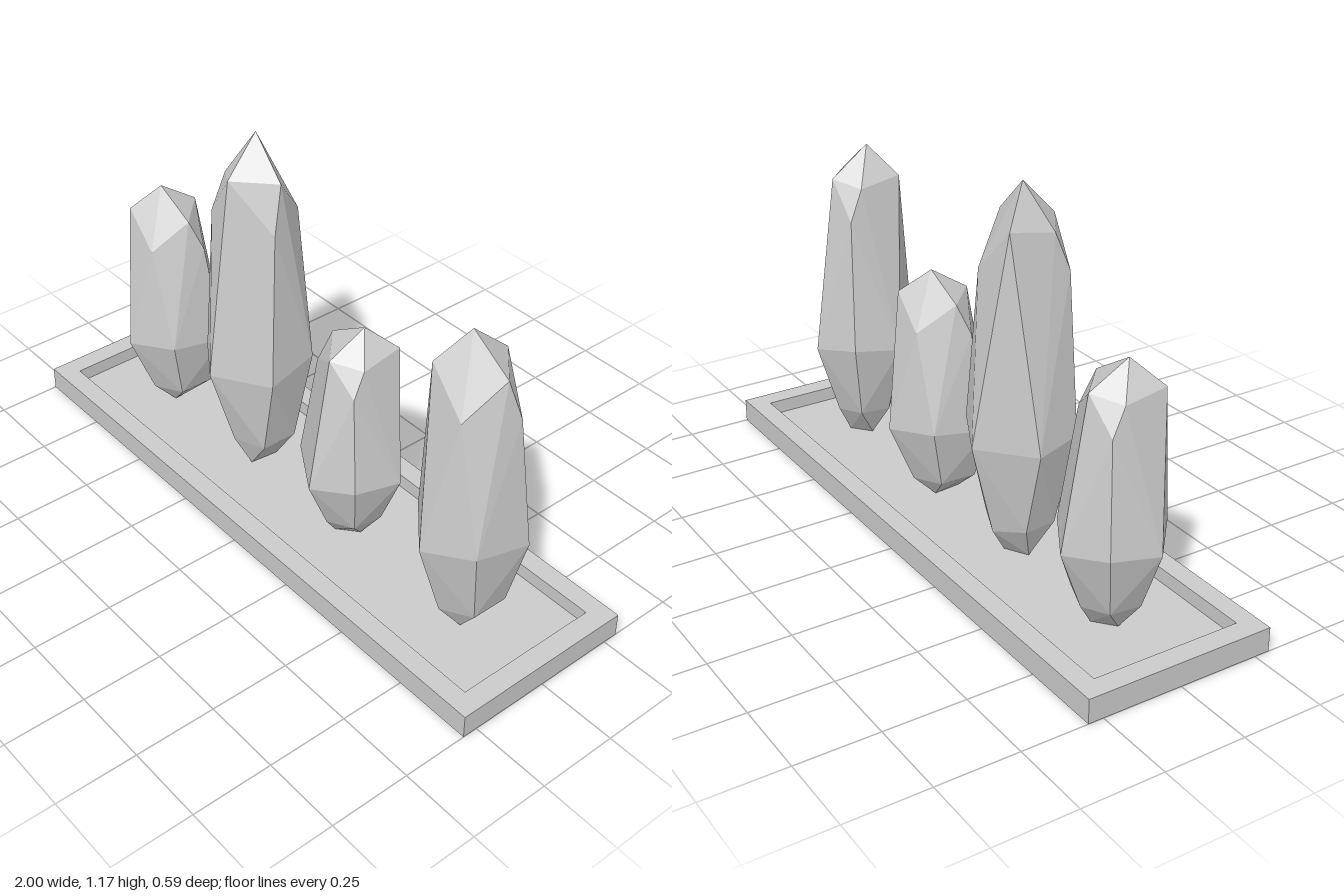
import * as THREE from 'three';
import { ConvexGeometry } from 'three/addons/geometries/ConvexGeometry.js';

const material = new THREE.MeshStandardMaterial({ color: 0xcccccc, flatShading: true });

// Corners of one faceted crystal: x, height fraction, z
const corners = [
  // tip and shoulder
  [-0.015, 1, 0.02],
  [-0.075, 0.9, 0.1], [0.11, 0.9, 0.01], [0, 0.9, -0.095], [-0.085, 0.88, -0.04],
  [0.13, 0.77, -0.03], [0.055, 0.78, 0.115], [-0.095, 0.78, -0.085],
  // widest ring
  [-0.01, 0.335, -0.177], [0.16, 0.335, -0.07], [0.135, 0.36, 0.105],
  [-0.01, 0.335, 0.177], [-0.158, 0.335, 0.045], [-0.125, 0.35, -0.1],
  // lower ring and foot
  [0.1, 0.095, 0.06], [0.1, 0.095, -0.06], [-0.085, 0.095, 0.04],
  [-0.08, 0.1, -0.06], [0, 0.08, 0.1], [0, 0.095, -0.1],
  [0.03, 0, 0.04], [0.02, 0, -0.05], [-0.04, 0, 0],
];

const floorY = 0.03;

// x position, tip height, and which way the shape is turned or mirrored
const crystals = [
  { x: -0.685, top: 0.82, sx: 1, sz: 1 },
  { x: -0.25, top: 1.175, sx: 1, sz: -1 },
  { x: 0.2, top: 0.76, sx: -1, sz: -1 },
  { x: 0.685, top: 1.02, sx: 1, sz: 1 },
];

function rectangle(PathType, w, d) {
  const p = new PathType();
  p.moveTo(-w, -d);
  p.lineTo(w, -d);
  p.lineTo(w, d);
  p.lineTo(-w, d);
  p.closePath();
  return p;
}

export function createModel() {
  const model = new THREE.Group();
  model.name = 'crystalDisplay';

  // Shallow tray: floor slab inside a raised rim
  const tray = new THREE.Group();
  tray.name = 'tray';
  const outline = rectangle(THREE.Shape, 1, 0.297);
  outline.holes.push(rectangle(THREE.Path, 0.935, 0.235));
  const rimGeometry = new THREE.ExtrudeGeometry(outline, { depth: 0.075, bevelEnabled: false });
  rimGeometry.rotateX(-Math.PI / 2);
  const rim = new THREE.Mesh(rimGeometry, material);
  rim.name = 'trayRim';
  const floor = new THREE.Mesh(new THREE.BoxGeometry(1.87, floorY, 0.47), material);
  floor.name = 'trayFloor';
  floor.position.y = floorY / 2;
  tray.add(rim, floor);
  model.add(tray);

  // Row of crystals standing on the tray floor
  crystals.forEach(({ x, top, sx, sz }, i) => {
    const points = corners.map(([px, f, pz]) =>
      new THREE.Vector3(px * sx, f * (top - floorY), pz * sz));
    const crystal = new THREE.Mesh(new ConvexGeometry(points), material);
    crystal.name = `crystal${i + 1}`;
    crystal.position.set(x, floorY, 0);
    model.add(crystal);
  });

  return model;
}
